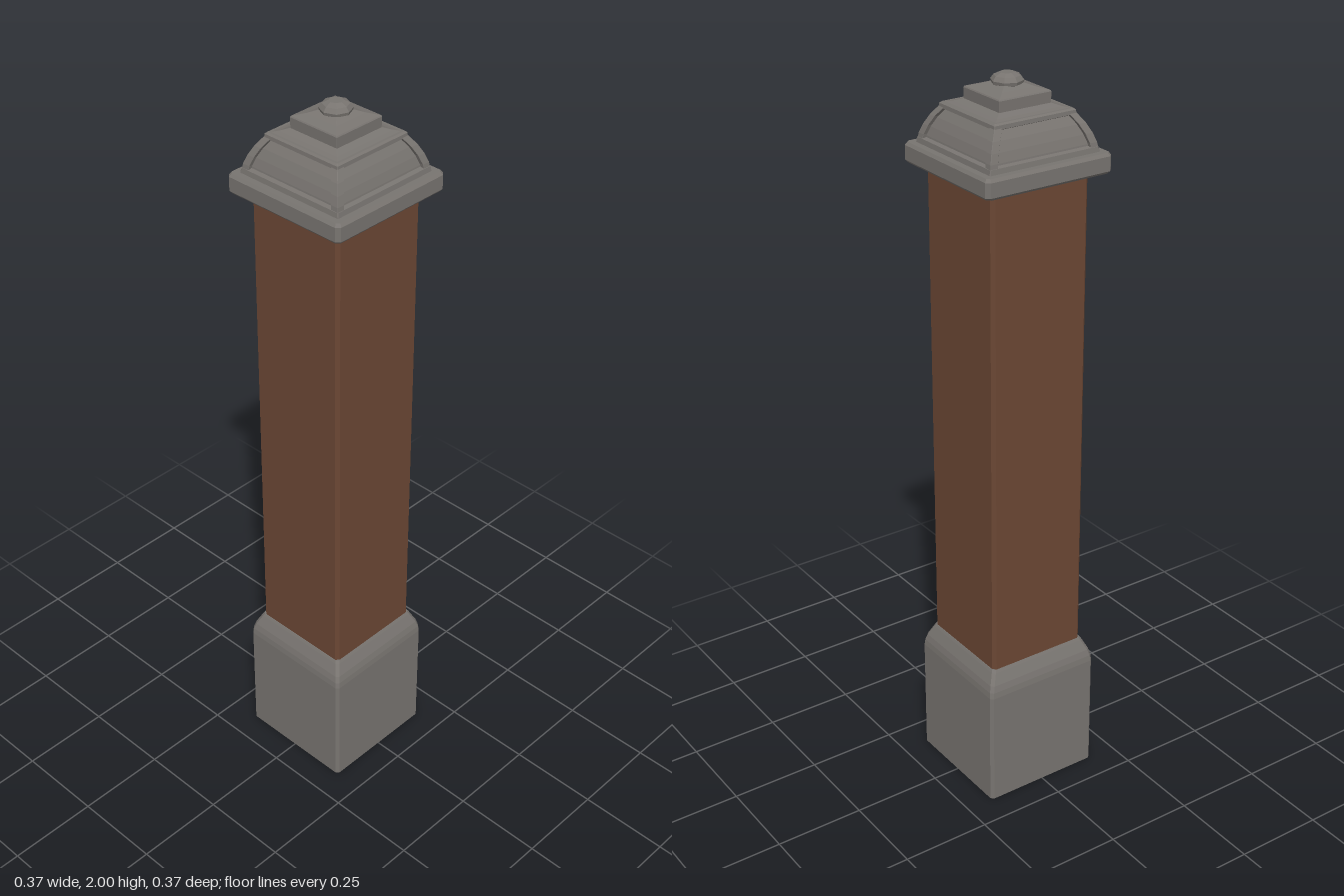
import * as THREE from 'three';

const grey = new THREE.MeshStandardMaterial({ color: 0x787470, flatShading: true, side: THREE.DoubleSide });
grey.name = 'stone grey';
const brown = new THREE.MeshStandardMaterial({ color: 0x6b4734, flatShading: true, side: THREE.DoubleSide });
brown.name = 'wood brown';

// Square section with chamfered corners, counterclockwise from above
function ring([h, y, c = 0.006, ox = 0, oz = 0]) {
  const k = h - c;
  return [[h, k], [h, -k], [k, -h], [-k, -h], [-h, -k], [-h, k], [-k, h], [k, h]]
    .map(([x, z]) => [x + ox, y, z + oz]);
}

// Skin a list of [halfWidth, y, chamfer, offsetX, offsetZ] sections
function loft(name, sections, material, capped = true) {
  const rings = sections.map(ring), pos = [];
  const tri = (...pts) => pts.forEach(p => pos.push(...p));
  for (let i = 0; i < rings.length - 1; i++) {
    for (let j = 0; j < 8; j++) {
      const n = (j + 1) % 8;
      tri(rings[i][j], rings[i][n], rings[i + 1][n]);
      tri(rings[i][j], rings[i + 1][n], rings[i + 1][j]);
    }
  }
  if (capped) {
    const top = rings[rings.length - 1];
    for (let j = 1; j < 7; j++) tri(top[0], top[j], top[j + 1]);
  }
  const geo = new THREE.BufferGeometry();
  geo.setAttribute('position', new THREE.Float32BufferAttribute(pos, 3));
  geo.computeVertexNormals();
  const mesh = new THREE.Mesh(geo, material);
  mesh.name = name;
  return mesh;
}

export function createModel() {
  const group = new THREE.Group();
  group.name = 'squarePost';

  // Hollow plinth, open below, with a rounded shoulder
  group.add(loft('base', [
    [0.172, 0, 0.008], [0.172, 0.335, 0.008], [0.17, 0.352, 0.008],
    [0.165, 0.37, 0.008], [0.151, 0.4, 0.008], [0.147, 0.407, 0.008], [0.14, 0.407, 0.008],
  ], grey, false));

  // Wooden shaft
  group.add(loft('shaft', [[0.145, 0.395, 0.009], [0.145, 1.765, 0.009]], brown, false));

  // Cap
  const cap = new THREE.Group();
  cap.name = 'cap';
  group.add(cap);
  cap.add(loft('capSlab', [
    [0.13, 1.76], [0.18, 1.76, 0.01], [0.186, 1.767, 0.01], [0.186, 1.805, 0.01], [0.18, 1.813, 0.008],
  ], grey));

  // Curved dome: recessed panels behind a raised frame
  const curve = [[0.16, 1.812], [0.156, 1.835], [0.148, 1.858], [0.136, 1.882], [0.12, 1.905], [0.115, 1.915]];
  cap.add(loft('domePanels', curve.map(([h, y]) => [h - 0.009, y - 0.002, 0.002]), grey));
  cap.add(loft('lowerRail', [[0.163, 1.81, 0.002], [0.16, 1.826, 0.002], [0.146, 1.829, 0.002]], grey, false));
  cap.add(loft('upperRail', [
    [0.11, 1.9, 0.002], [0.121, 1.905, 0.002], [0.12, 1.915, 0.002], [0.115, 1.919, 0.002],
  ], grey));
  for (const sx of [-1, 1]) for (const sz of [-1, 1]) {
    const r = 0.011;
    cap.add(loft('cornerRib', curve.map(([h, y]) => [r, y + 0.002, 0.001, sx * (h + 0.001 - r), sz * (h + 0.001 - r)]), grey));
  }

  // Shallow roof, top block and its pyramid
  cap.add(loft('roof', [[0.117, 1.917, 0.001], [0.095, 1.922, 0.001], [0.074, 1.93, 0.001]], grey));
  cap.add(loft('topBlock', [
    [0.076, 1.915, 0.001], [0.077, 1.957, 0.001], [0.075, 1.96, 0.001], [0.05, 1.967, 0.001], [0.028, 1.976, 0.001],
  ], grey));

  // Eight-sided knob
  const profile = [[0.028, 1.968], [0.04, 1.974], [0.042, 1.982], [0.034, 1.993], [0.018, 2], [0, 2]];
  const knob = new THREE.Mesh(new THREE.LatheGeometry(profile.map(p => new THREE.Vector2(...p)), 8), grey);
  knob.name = 'knob';
  cap.add(knob);

  return group;
}
